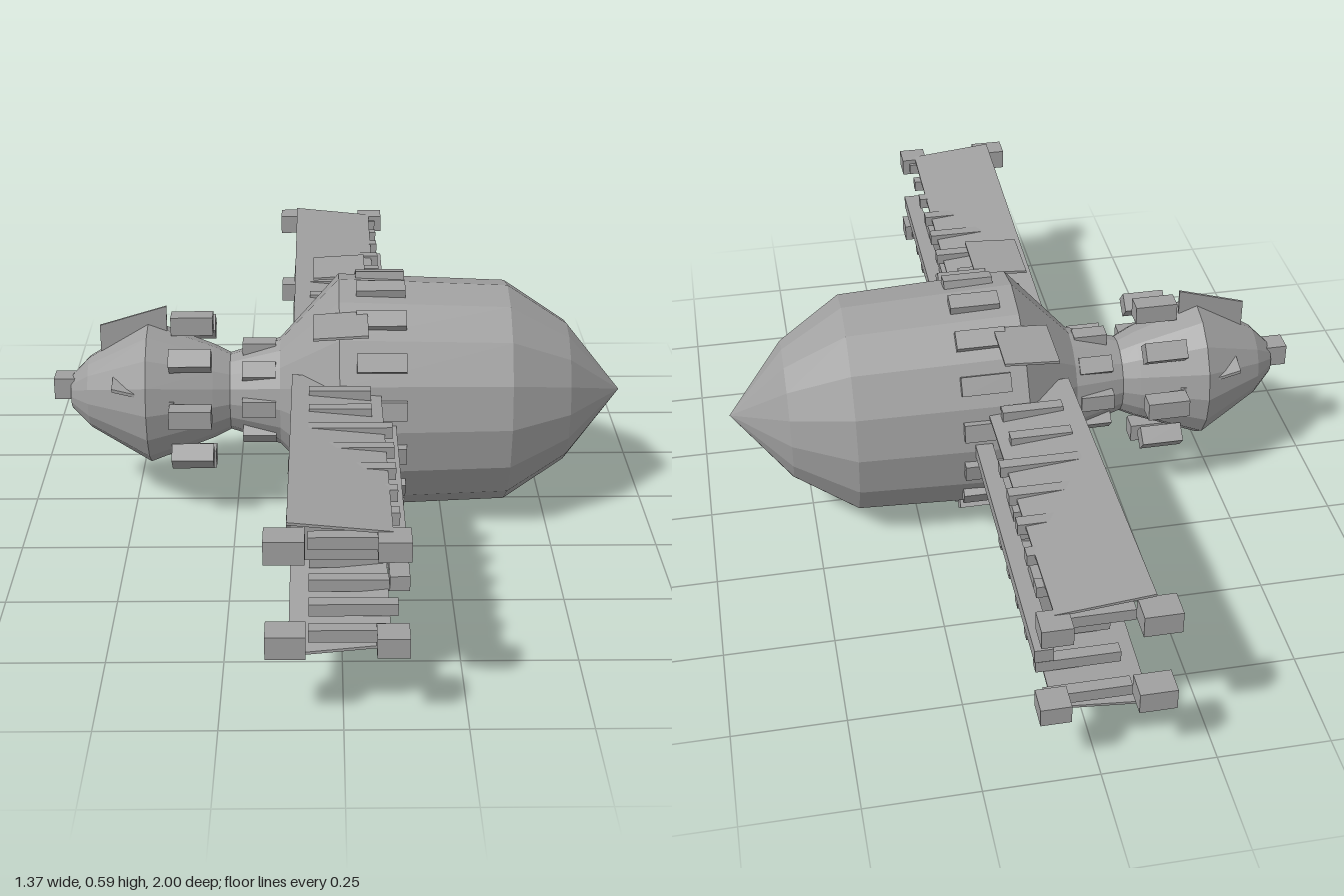
import * as THREE from 'three';

const CY = 0.295;      // height of the hull axis
const FLAT = 0.88;     // hull is narrower in z than in y

export function createModel() {
  const model = new THREE.Group();
  const hullGrey = new THREE.MeshStandardMaterial({ color: 0xa0a0a0 });

  const add = (name, geometry, parent = model) => {
    const mesh = new THREE.Mesh(geometry, hullGrey);
    mesh.name = name;
    parent.add(mesh);
    return mesh;
  };
  // Box given by its low and high corners
  const block = (name, [x0, y0, z0], [x1, y1, z1], parent) => {
    const g = new THREE.BoxGeometry(x1 - x0, y1 - y0, z1 - z0);
    g.translate((x0 + x1) / 2, (y0 + y1) / 2, (z0 + z1) / 2);
    return add(name, g, parent);
  };
  // Shift the heights of a geometry by a rule
  const bend = (g, rule) => {
    const p = g.attributes.position;
    for (let i = 0; i < p.count; i++) p.setY(i, p.getY(i) + rule(p.getX(i), p.getZ(i)));
    g.computeVertexNormals();
    return g;
  };

  // Faceted hull: tail cone, main body, neck and head
  const profile = [
    [-0.65, 0], [-0.645, 0.04], [-0.6, 0.088], [-0.455, 0.175], [-0.3, 0.115],
    [-0.26, 0.095], [-0.14, 0.132], [0, 0.287], [0.4, 0.27], [0.545, 0.172], [0.68, 0],
  ].map(([x, r]) => new THREE.Vector2(r, x));
  let hull = new THREE.LatheGeometry(profile, 16);
  hull.rotateZ(-Math.PI / 2);
  hull.scale(1, 1, FLAT);
  hull.translate(0, CY, 0);
  hull = hull.toNonIndexed();
  hull.computeVertexNormals();
  add('hull', hull);

  // Rings of blocks around the hull
  const ring = (name, count, offset, x0, x1, radius, thick, wide) => {
    const group = new THREE.Group();
    group.name = name;
    for (let i = 0; i < count; i++) {
      const a = ((i + offset) / count) * Math.PI * 2;
      const b = add(name + 'Block', new THREE.BoxGeometry(x1 - x0, thick, wide), group);
      b.position.set((x0 + x1) / 2, CY + radius * Math.cos(a), radius * FLAT * Math.sin(a));
      b.rotation.x = Math.atan2(Math.sin(a) / FLAT, Math.cos(a));
    }
    model.add(group);
  };
  ring('bodyRing', 16, 0.5, 0.04, 0.155, 0.284, 0.022, 0.044);
  ring('neckRing', 8, 0, -0.23, -0.15, 0.11, 0.04, 0.04);
  ring('headRing', 8, 0, -0.4, -0.3, 0.175, 0.045, 0.045);

  // Nose cap and upright fin on the head
  block('noseCap', [-0.685, 0.285, -0.026], [-0.635, 0.338, 0.026]);
  const finShape = new THREE.Shape([[-0.57, 0.38], [-0.41, 0.4], [-0.41, 0.515], [-0.57, 0.467]]
    .map(([x, y]) => new THREE.Vector2(x, y)));
  const fin = new THREE.ExtrudeGeometry(finShape, { depth: 0.006, bevelEnabled: false });
  fin.translate(0, 0, -0.003);
  add('headFin', fin);

  for (const side of [1, -1]) {
    const wing = new THREE.Group();
    wing.name = side > 0 ? 'frontWing' : 'backWing';
    model.add(wing);
    const z = (a, b) => (side > 0 ? [a, b] : [-b, -a]);
    const slab = (name, x0, x1, y0, y1, za, zb) => {
      const [z0, z1] = z(za, zb);
      return block(name, [x0, y0, z0], [x1, y1, z1], wing);
    };

    // Twin tilted panels, mirrored above and below the axis
    for (const up of [1, -1]) {
      const level = up > 0 ? 'upper' : 'lower';
      const mirrored = (name, x0, x1, y0, y1, za, zb) => {
        const ys = [CY + up * y0, CY + up * y1].sort((a, b) => a - b);
        return slab(level + name, x0, x1, ys[0], ys[1], za, zb);
      };
      const panel = mirrored('Panel', -0.11, 0.095, 0.092, 0.098, 0.14, 0.957);
      bend(panel.geometry, (x, pz) => up * (0.057 * (Math.abs(pz) - 0.25) - 0.1 * x));
      // Ribs sunk into the panel
      for (let k = 0; k < 8; k++) {
        const c = 0.255 + k * 0.0985;
        mirrored('Rib', -0.07, k < 2 ? 0.07 : 0.112, 0.09, 0.117, c - 0.014, c + 0.014);
      }
      // Tip blocks
      mirrored('TipBlock', -0.155, -0.075, 0.08, 0.13, 0.94, 1);
      mirrored('TipBlock', 0.065, 0.13, 0.085, 0.128, 0.94, 1);
    }

    // Middle spar with its equipment boxes
    slab('spar', 0.09, 0.13, 0.28, 0.312, 0.2, 0.935);
    slab('equipmentBox', -0.115, 0.095, 0.257, 0.336, 0.45, 0.53);
    slab('equipmentBox', -0.115, 0.095, 0.257, 0.336, 0.69, 0.77);

    // Flat shoulder plate
    const shoulder = slab('shoulderPlate', -0.06, 0.065, 0.537, 0.543, 0.12, 0.27);
    bend(shoulder.geometry, (x) => 0.06 * x);

    // Small side fin on the head
    const vane = slab('headVane', -0.535, -0.39, 0.34, 0.348, 0.06, 0.132);
    bend(vane.geometry, (x, pz) => -0.25 * (x + 0.46) + 0.3 * (0.1 - Math.abs(pz)));
  }

  return model;
}
